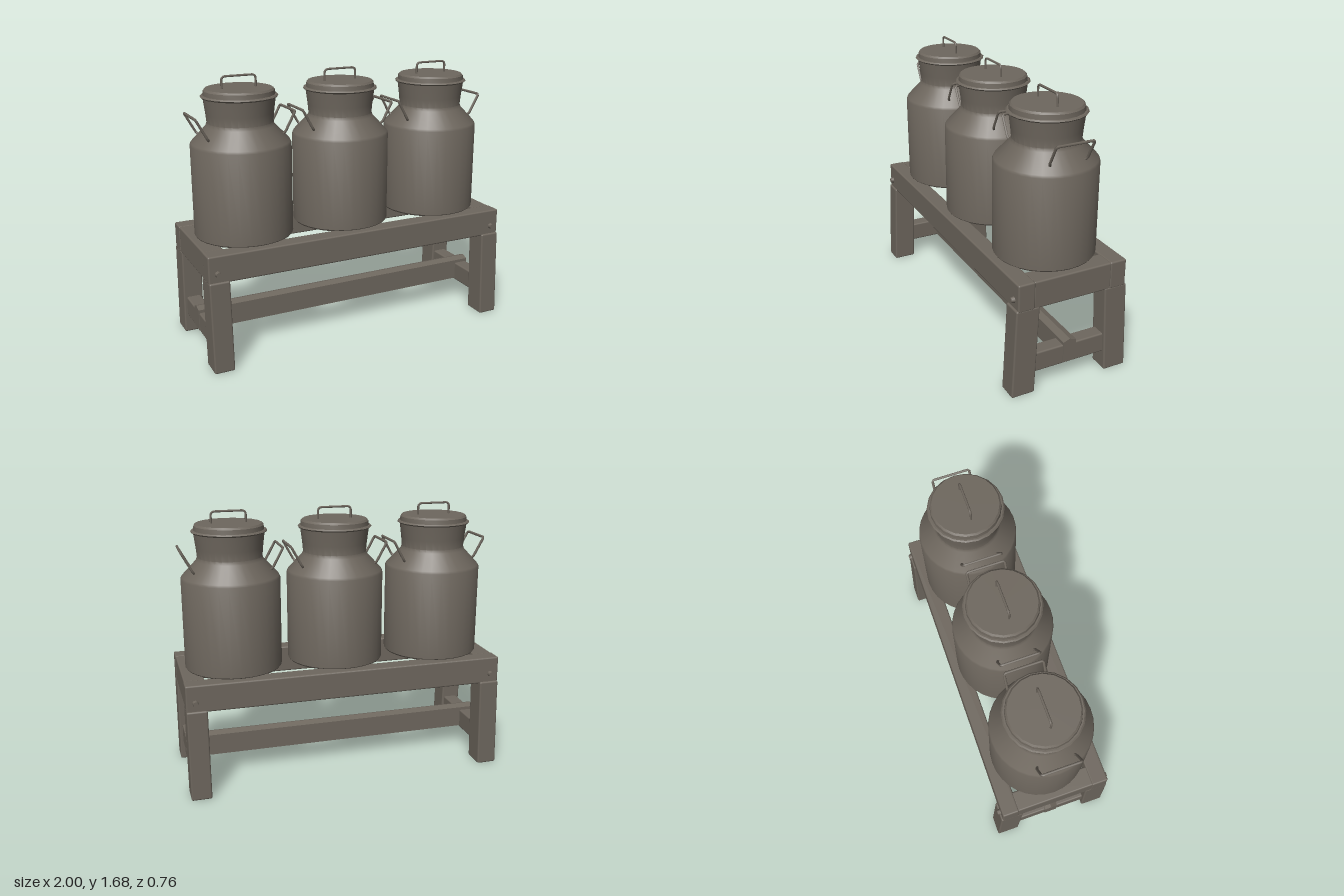
import * as THREE from 'three';
import { RoundedBoxGeometry } from 'three/addons/geometries/RoundedBoxGeometry.js';
import { toCreasedNormals } from 'three/addons/utils/BufferGeometryUtils.js';

const material = new THREE.MeshStandardMaterial({ color: 0x6e675e });
material.name = 'weathered grey brown';

const V = (x, y, z) => new THREE.Vector3(x, y, z);

function add(parent, name, geometry, x = 0, y = 0, z = 0) {
  const mesh = new THREE.Mesh(geometry, material);
  mesh.name = name;
  mesh.position.set(x, y, z);
  parent.add(mesh);
  return mesh;
}

// Timber with slightly worn edges
const timber = (w, h, d) => new RoundedBoxGeometry(w, h, d, 2, 0.01);

// Bent wire: straight runs joined by small rounded corners
function wire(points, radius, bend) {
  const path = new THREE.CurvePath();
  let from = points[0];
  for (let i = 1; i < points.length - 1; i++) {
    const p = points[i];
    const a = p.clone().add(points[i - 1].clone().sub(p).setLength(bend));
    const b = p.clone().add(points[i + 1].clone().sub(p).setLength(bend));
    path.add(new THREE.LineCurve3(from, a));
    path.add(new THREE.QuadraticBezierCurve3(a, p, b));
    from = b;
  }
  path.add(new THREE.LineCurve3(from, points[points.length - 1]));
  return new THREE.TubeGeometry(path, 40, radius, 6, false);
}

function lathe(profile, sides) {
  const points = profile.map(([r, y]) => new THREE.Vector2(r, y));
  return toCreasedNormals(new THREE.LatheGeometry(points, sides), 0.5);
}

function createCan() {
  const can = new THREE.Group();
  can.name = 'milkCan';

  // Body, sloped shoulder and flared neck
  add(can, 'canBody', lathe([
    [0, 0.715], [0.295, 0.715], [0.302, 0.725], [0.302, 1.275], [0.295, 1.29],
    [0.205, 1.385], [0.197, 1.405], [0.202, 1.46], [0.214, 1.556], [0, 1.556],
  ], 32));

  // Thin rim and lid
  add(can, 'neckRim', lathe([
    [0, 1.552], [0.222, 1.552], [0.23, 1.56], [0.222, 1.568], [0, 1.568],
  ], 20));
  add(can, 'lid', lathe([
    [0, 1.565], [0.213, 1.565], [0.21, 1.594], [0.2, 1.605], [0, 1.605],
  ], 20));

  // Lid handle
  add(can, 'lidHandle', wire([
    V(-0.105, 1.6, 0), V(-0.105, 1.676, 0), V(0.105, 1.676, 0), V(0.105, 1.6, 0),
  ], 0.007, 0.025));

  // Side handles leaning away from the shoulders
  for (const s of [-1, 1]) {
    add(can, 'sideHandle', wire([
      V(s * 0.225, 1.325, 0.105), V(s * 0.238, 1.34, 0.118), V(s * 0.304, 1.46, 0.118),
      V(s * 0.304, 1.46, -0.118), V(s * 0.238, 1.34, -0.118), V(s * 0.225, 1.325, -0.105),
    ], 0.008, 0.012));
  }
  return can;
}

function createBench() {
  const bench = new THREE.Group();
  bench.name = 'bench';

  // Long rails with bolts at their ends
  for (const sz of [-1, 1]) {
    add(bench, 'longRail', timber(2, 0.17, 0.105), 0, 0.635, sz * 0.295);
    for (const sx of [-1, 1]) {
      const bolt = add(bench, 'bolt', new THREE.CylinderGeometry(0.015, 0.02, 0.026, 8),
        sx * 0.945, 0.612, sz * 0.355);
      bolt.rotation.x = sz * Math.PI / 2;
    }
  }

  for (const sx of [-1, 1]) {
    // Upper and lower cross beams
    add(bench, 'upperCrossBeam', timber(0.125, 0.168, 0.5), sx * 0.935, 0.634, 0);
    add(bench, 'lowerCrossBeam', timber(0.09, 0.125, 0.5), sx * 0.935, 0.183, 0);

    // Splayed legs
    for (const sz of [-1, 1]) {
      const leg = timber(0.125, 0.56, 0.146);
      const p = leg.attributes.position;
      for (let i = 0; i < p.count; i++) {
        p.setZ(i, p.getZ(i) - sz * 0.045 * p.getY(i));
      }
      leg.computeBoundingSphere();
      add(bench, 'leg', leg, sx * 0.9375, 0.28, sz * 0.297);
    }
  }

  // Ridged stretcher running between the lower cross beams
  const profile = new THREE.Shape([
    [-0.042, 0.132], [0.042, 0.132], [0.042, 0.265], [0, 0.28], [-0.042, 0.265],
  ].map(([x, y]) => new THREE.Vector2(x, y)));
  const stretcher = new THREE.ExtrudeGeometry(profile, { depth: 1.97, bevelEnabled: false });
  stretcher.translate(0, 0, -0.985).rotateY(Math.PI / 2);
  add(bench, 'stretcher', stretcher);
  return bench;
}

export function createModel() {
  const model = new THREE.Group();
  model.name = 'milkCansOnBench';
  model.add(createBench());
  for (const x of [-0.658, 0, 0.658]) {
    const can = createCan();
    can.position.x = x;
    model.add(can);
  }
  return model;
}
